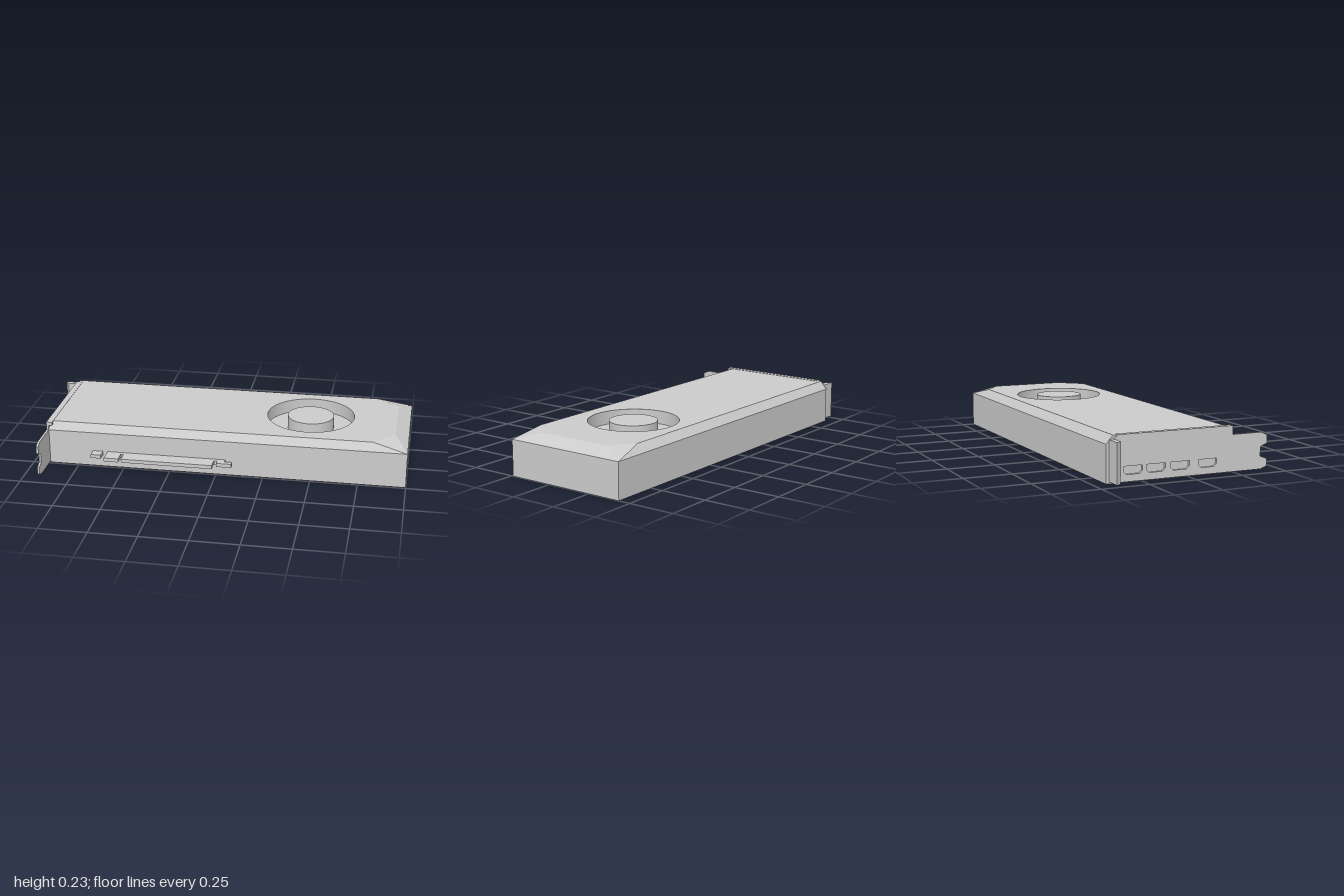
import * as THREE from 'three';

const material = new THREE.MeshStandardMaterial({ color: 0xcccccc });
const fan = { x: 0.465, z: -0.1, hole: 0.235, hub: 0.125, depth: 0.07 };
const TOP = 0.232, RIM = 0.19;

function part(group, name, geometry, mat = material) {
  const mesh = new THREE.Mesh(geometry, mat);
  mesh.name = name;
  group.add(mesh);
  return mesh;
}

const toShape = (points) => new THREE.Shape(points.map(([a, b]) => new THREE.Vector2(a, b)));

// Slab drawn in plan as [x, z] points, between heights y0 and y1
function slab(points, y0, y1) {
  return new THREE.ExtrudeGeometry(toShape(points), { depth: y1 - y0, bevelEnabled: false })
    .rotateX(Math.PI / 2).translate(0, y1, 0);
}

// Flat-shaded surface from convex polygons of [x, y, z] corners
function facets(polygons) {
  const pos = [];
  for (const p of polygons)
    for (let i = 1; i < p.length - 1; i++) pos.push(...p[0], ...p[i], ...p[i + 1]);
  const g = new THREE.BufferGeometry();
  g.setAttribute('position', new THREE.Float32BufferAttribute(pos, 3));
  g.computeVertexNormals();
  return g;
}

function buildHousing() {
  const group = new THREE.Group();
  group.name = 'housing';
  const rim = [[-0.91, 0.24], [1, 0.24], [1, -0.435], [-0.91, -0.435]];
  const top = [[-0.91, 0.21], [0.82, 0.21], [0.93, 0.09], [0.93, -0.31], [0.81, -0.4], [-0.91, -0.4]];
  const B = rim.map(([x, z]) => [x, 0, z]);
  const R = rim.map(([x, z]) => [x, RIM, z]);
  const T = top.map(([x, z]) => [x, TOP, z]);

  // Walls and underside
  const walls = B.map((b, i) => [b, B[(i + 1) % 4], R[(i + 1) % 4], R[i]]);
  part(group, 'caseWalls', facets([...walls, [...B].reverse()]));

  // Sloped border with two cut corners
  part(group, 'shroudBevel', facets([
    [R[0], R[1], T[1], T[0]], [R[1], T[2], T[1]], [R[1], R[2], T[3], T[2]],
    [R[2], T[4], T[3]], [R[2], R[3], T[5], T[4]], [R[3], R[0], T[0], T[5]],
  ]));

  // Top panel with the fan opening
  const panel = toShape(top.map(([x, z]) => [x, -z]));
  panel.holes.push(new THREE.Path().absarc(fan.x, -fan.z, fan.hole, 0, Math.PI * 2, true));
  part(group, 'shroudTop', new THREE.ShapeGeometry(panel, 32).rotateX(-Math.PI / 2).translate(0, TOP, 0));
  return group;
}

function buildFan() {
  const group = new THREE.Group();
  group.name = 'fan';
  group.position.set(fan.x, TOP - fan.depth / 2, fan.z);
  const inside = material.clone();
  inside.side = THREE.BackSide;
  part(group, 'fanWell', new THREE.CylinderGeometry(fan.hole, fan.hole, fan.depth, 64, 1, true), inside);
  part(group, 'fanFloor', new THREE.CircleGeometry(fan.hole, 64).rotateX(-Math.PI / 2))
    .position.y = -fan.depth / 2;
  part(group, 'fanHub', new THREE.CylinderGeometry(fan.hub, fan.hub, fan.depth, 48));
  return group;
}

function buildBracket() {
  const group = new THREE.Group();
  group.name = 'bracket';
  // Plate drawn as [z, y], with a notched foot
  const plate = toShape([
    [-0.41, 0.005], [0.4, 0.005], [0.435, 0.018], [0.435, 0.055], [0.397, 0.07], [0.397, 0.118],
    [0.435, 0.133], [0.435, 0.175], [0.4, RIM], [0.24, RIM], [0.24, 0.234], [-0.375, 0.234], [-0.41, 0.21],
  ]);
  // Port openings with clipped corners
  for (const z of [-0.3, -0.18, -0.05, 0.1]) {
    const w = 0.05, h = 0.02, c = 0.015;
    plate.holes.push(new THREE.Path([
      [-w + c, -h], [-w, -h + c], [-w, h], [w, h], [w, -h + c], [w - c, -h],
    ].map(([a, b]) => new THREE.Vector2(z + a, 0.06 + b))));
  }
  part(group, 'bracketPlate', new THREE.ExtrudeGeometry(plate, { depth: 0.012, bevelEnabled: false })
    .rotateY(-Math.PI / 2).translate(-0.911, 0, 0));
  // Folded lip over the shroud edge
  part(group, 'bracketLip', new THREE.BoxGeometry(0.03, 0.018, 0.615).translate(-0.907, 0.225, -0.0675));
  // Mounting tab
  part(group, 'mountingTab', slab([[-1, -0.42], [-0.908, -0.42], [-0.908, -0.392], [-0.98, -0.392]], 0.01, 0.212));
  return group;
}

function buildConnector() {
  const group = new THREE.Group();
  group.name = 'edgeConnector';
  part(group, 'connectorKey', slab([[-0.67, 0.23], [-0.615, 0.23], [-0.615, 0.292], [-0.67, 0.292]], 0.066, 0.086));
  part(group, 'connectorFingers', slab([
    [-0.59, 0.23], [0.05, 0.23], [0.05, 0.265], [0.09, 0.265], [0.09, 0.292], [0.01, 0.292], [0.01, 0.262],
    [-0.008, 0.262], [-0.008, 0.324], [-0.497, 0.324], [-0.497, 0.262], [-0.512, 0.262], [-0.512, 0.324], [-0.59, 0.324],
  ], 0.066, 0.086));
  return group;
}

export function createModel() {
  const model = new THREE.Group();
  model.name = 'graphicsCard';
  model.add(buildHousing(), buildFan(), buildBracket(), buildConnector());
  return model;
}
